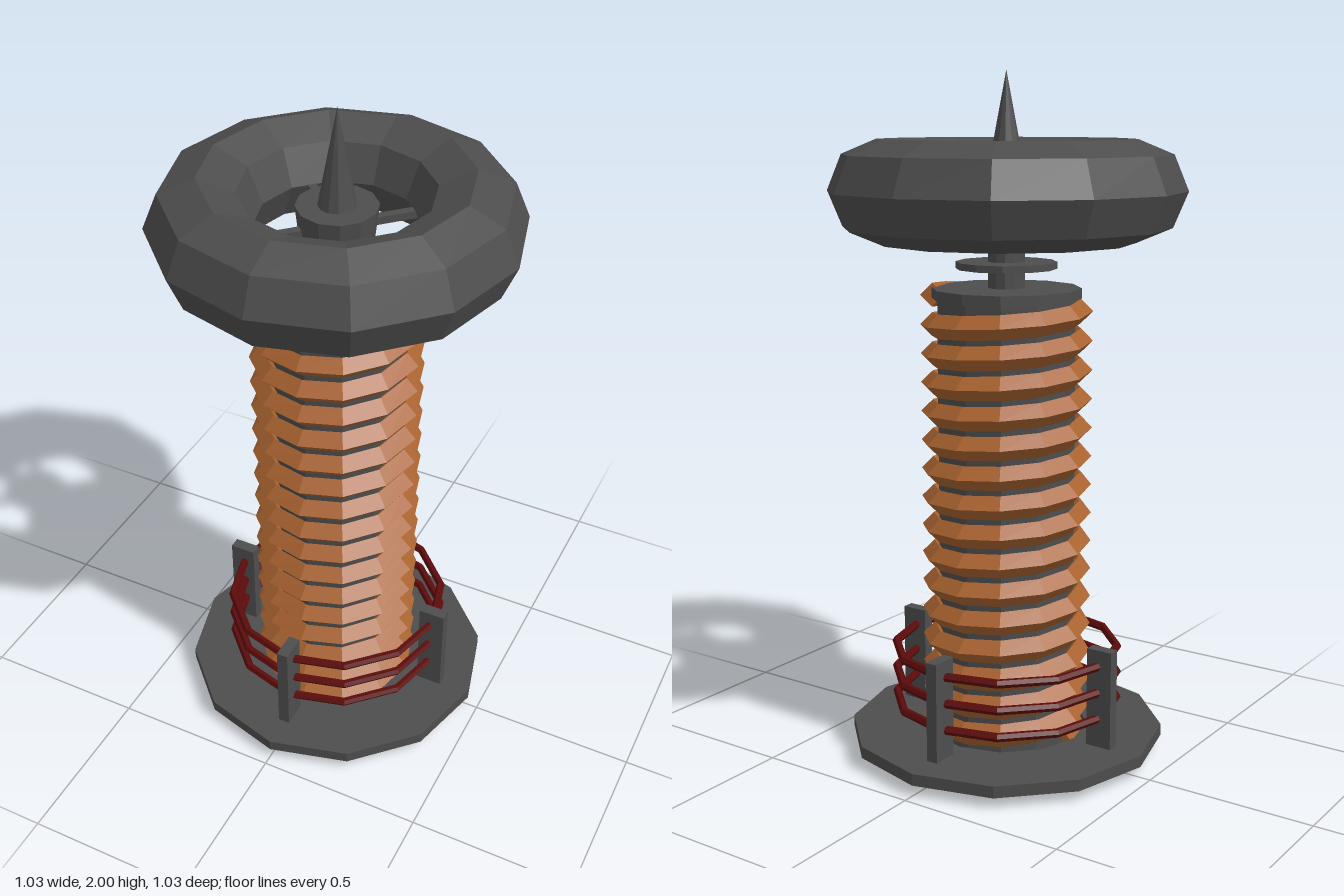
import * as THREE from 'three';

const SIDES = 12;
const paint = (color) => new THREE.MeshStandardMaterial({ color, flatShading: true, side: THREE.DoubleSide });

// Diamond-section wire wound as a rising helix
function helixGeometry(radius, wire, y0, pitch, steps) {
  const pos = [], idx = [];
  for (let i = 0; i <= steps; i++) {
    const a = (i / SIDES) * Math.PI * 2;
    const y = y0 + (pitch * i) / SIDES;
    for (let j = 0; j < 4; j++) {
      const r = radius + wire * Math.cos((j * Math.PI) / 2);
      pos.push(-r * Math.cos(a), y + wire * Math.sin((j * Math.PI) / 2), r * Math.sin(a));
    }
  }
  for (let i = 0; i < steps; i++) {
    for (let j = 0; j < 4; j++) {
      const k = (j + 1) % 4;
      const a = i * 4 + j, b = a + 4, c = (i + 1) * 4 + k, d = i * 4 + k;
      idx.push(a, b, c, a, c, d);
    }
  }
  const e = steps * 4;
  idx.push(0, 1, 2, 0, 2, 3, e, e + 2, e + 1, e, e + 3, e + 2);
  const geo = new THREE.BufferGeometry();
  geo.setAttribute('position', new THREE.Float32BufferAttribute(pos, 3));
  geo.setIndex(idx);
  geo.computeVertexNormals();
  return geo;
}

export function createModel() {
  const model = new THREE.Group();
  const metal = paint(0x4d4d4d), copper = paint(0xa8622f), red = paint(0x5c0a0a);

  const add = (name, geo, mat, x = 0, y = 0, z = 0) => {
    const mesh = new THREE.Mesh(geo, mat);
    mesh.name = name;
    mesh.position.set(x, y, z);
    model.add(mesh);
    return mesh;
  };
  // Upright cylinder given by its bottom and top heights
  const post = (name, rTop, rBottom, y0, y1, open = false) =>
    add(name, new THREE.CylinderGeometry(rTop, rBottom, y1 - y0, SIDES, 1, open), metal, 0, (y0 + y1) / 2, 0);

  // Base plate: ring with a hole for the coil
  const plate = [[0.243, 0.035], [0.468, 0.035], [0.468, 0.07], [0.243, 0.07], [0.243, 0.035]];
  add('basePlate', new THREE.LatheGeometry(plate.map(([r, y]) => new THREE.Vector2(r, y)), SIDES), metal);

  // Hollow core and main winding
  post('core', 0.2, 0.2, 0.035, 1.365, true);
  add('mainCoil', helixGeometry(0.215, 0.035, 0.038, 0.0853, 187), copper);

  // Four supports carrying the outer rings
  for (let i = 0; i < 4; i++) {
    const a = (i * Math.PI) / 2;
    const s = add('ringSupport', new THREE.BoxGeometry(0.08, 0.335, 0.035), metal,
      0.335 * Math.cos(a), 0.1975, 0.335 * Math.sin(a));
    s.rotation.y = -a;
  }
  for (const y of [0.155, 0.235, 0.315]) {
    const ring = add('outerRing', new THREE.TorusGeometry(0.333, 0.013, 6, SIDES), red, 0, y, 0);
    ring.rotation.x = Math.PI / 2;
  }

  // Cap, neck, collar and tapered hub
  post('coilCap', 0.217, 0.217, 1.36, 1.39);
  post('neck', 0.053, 0.053, 1.39, 1.52);
  post('collar', 0.146, 0.146, 1.445, 1.465);
  post('hub', 0.113, 0.09, 1.508, 1.72);

  // Spokes from the hub to the large ring
  for (let i = 0; i < 4; i++) {
    const a = Math.PI / 4 + (i * Math.PI) / 2;
    const s = add('spoke', new THREE.BoxGeometry(0.15, 0.022, 0.025), metal,
      0.155 * Math.cos(a), 1.655, 0.155 * Math.sin(a));
    s.rotation.y = -a;
  }

  // Large top ring and spike
  const top = add('topRing', new THREE.TorusGeometry(0.37, 0.145, 8, SIDES), metal, 0, 1.665, 0);
  top.rotation.x = Math.PI / 2;
  add('spike', new THREE.ConeGeometry(0.053, 0.28, SIDES), metal, 0, 1.86, 0);

  return model;
}
